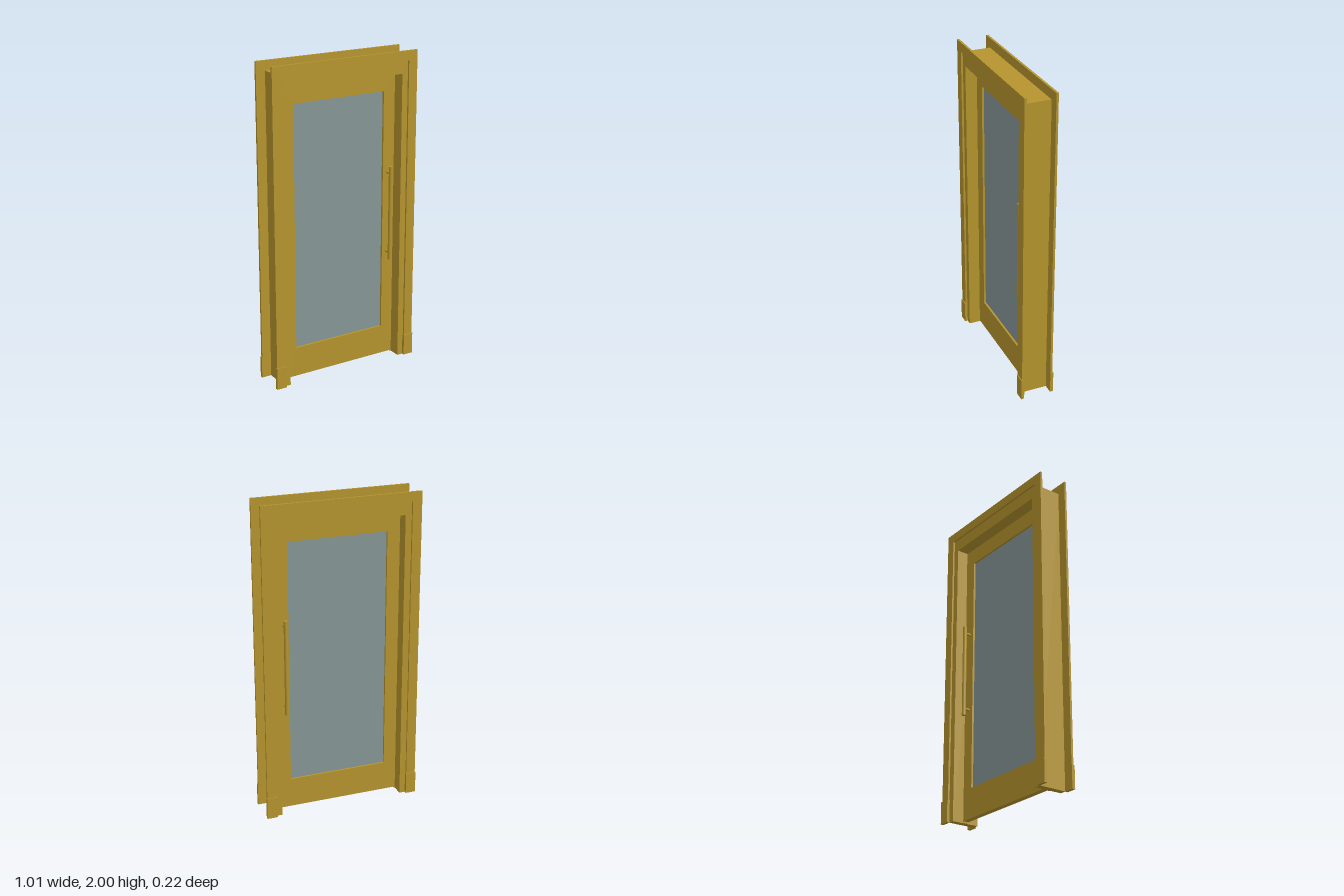
import * as THREE from 'three';

export function createModel() {
  const model = new THREE.Group();
  const wood = new THREE.MeshStandardMaterial({ color: 0xb5942d });
  const glassMat = new THREE.MeshStandardMaterial({ color: 0x869696 });

  const add = (name, geometry, x = 0, y = 0, z = 0, material = wood) => {
    const mesh = new THREE.Mesh(geometry, material);
    mesh.name = name;
    mesh.position.set(x, y, z);
    model.add(mesh);
    return mesh;
  };

  // Upside-down U standing on the floor, extruded from z0 to z1
  const archway = (name, outer, top, inner, innerTop, z0, z1) => {
    const shape = new THREE.Shape([
      [-outer, 0], [-inner, 0], [-inner, innerTop], [inner, innerTop],
      [inner, 0], [outer, 0], [outer, top], [-outer, top],
    ].map(([x, y]) => new THREE.Vector2(x, y)));
    const geometry = new THREE.ExtrudeGeometry(shape, { depth: z1 - z0, bevelEnabled: false });
    add(name, geometry, 0, 0, z0);
  };

  // Jamb lining the opening, and the thin stop closing the gap round the door
  archway('jamb', 0.44, 1.94, 0.4, 1.86, -0.09, 0.09);
  archway('doorStop', 0.401, 1.861, 0.394, 1.849, -0.012, 0.012);

  // Door leaf: rails and stiles around the glass opening
  const leaf = new THREE.Shape([
    new THREE.Vector2(-0.395, 0.01), new THREE.Vector2(0.395, 0.01),
    new THREE.Vector2(0.395, 1.85), new THREE.Vector2(-0.395, 1.85),
  ]);
  leaf.holes.push(new THREE.Path([
    new THREE.Vector2(-0.316, 0.2), new THREE.Vector2(-0.316, 1.75),
    new THREE.Vector2(0.316, 1.75), new THREE.Vector2(0.316, 0.2),
  ]));
  add('doorLeaf', new THREE.ExtrudeGeometry(leaf, { depth: 0.036, bevelEnabled: false }), 0, 0, -0.018);
  add('glassPane', new THREE.BoxGeometry(0.632, 1.55, 0.01), 0, 0.975, 0, glassMat);

  for (const side of [1, -1]) {
    const face = side > 0 ? 'front' : 'back';

    // Casing with a plinth block at each foot
    archway(face + 'Casing', 0.5, 2, 0.44, 1.94, side > 0 ? 0.088 : -0.102, side > 0 ? 0.102 : -0.088);
    for (const x of [-0.47, 0.47]) {
      add(face + 'Plinth', new THREE.BoxGeometry(0.066, 0.14, 0.02), x, 0.07, side * 0.098);
    }

    // Pull handle: round bar on two posts
    add(face + 'HandleBar', new THREE.CylinderGeometry(0.0125, 0.0125, 0.61, 20), 0.347, 0.975, side * 0.06);
    for (const y of [0.715, 1.235]) {
      const post = add(face + 'HandlePost', new THREE.CylinderGeometry(0.008, 0.008, 0.046, 16), 0.347, y, side * 0.037);
      post.rotation.x = Math.PI / 2;
    }
  }

  return model;
}
